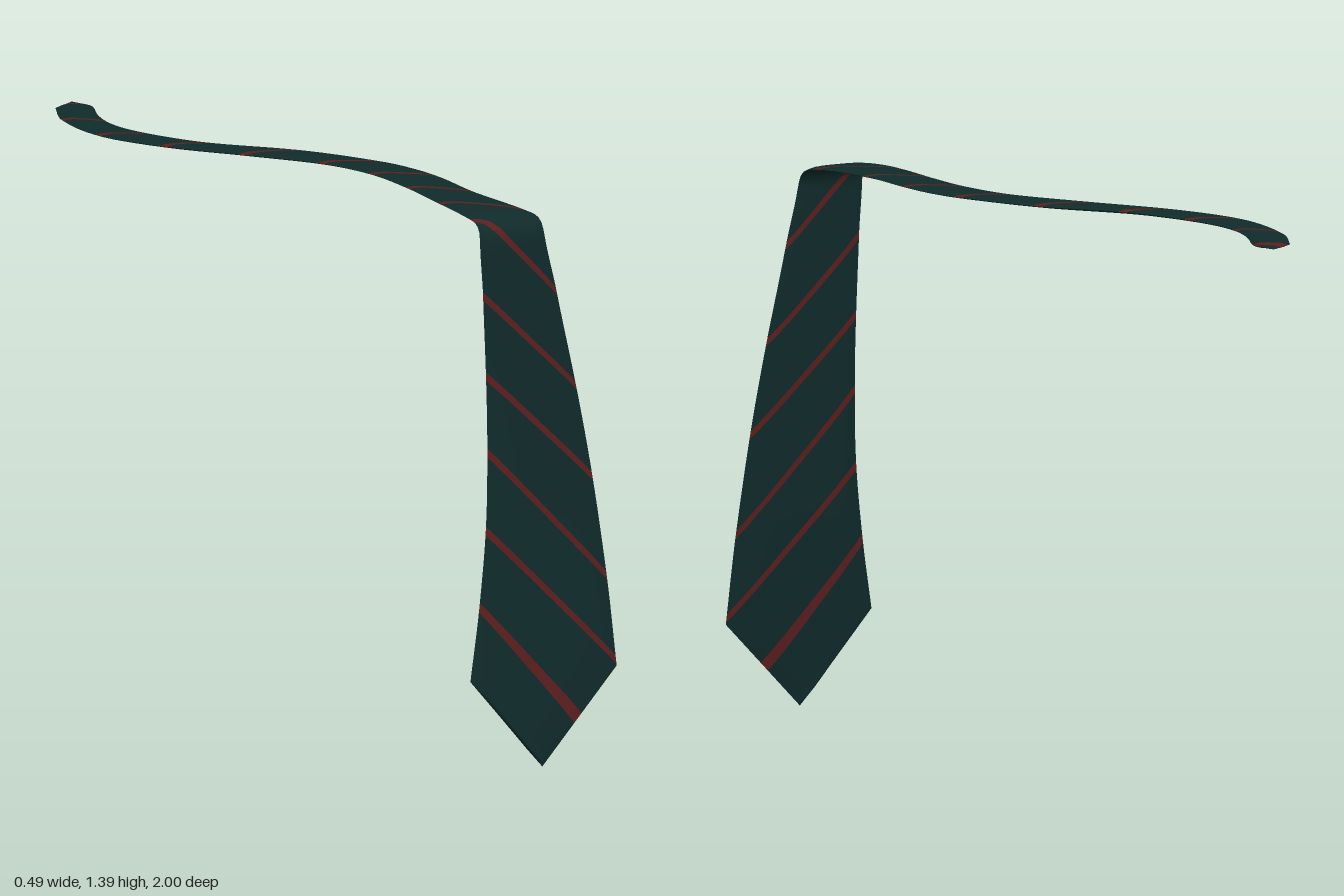
import * as THREE from 'three';

// Smooth interpolation through rows of [s, value, ...]; k picks the column
function curve(table, s, k = 1) {
  const n = table.length;
  let i = 0;
  while (i < n - 2 && s > table[i + 1][0]) i++;
  const slope = (j) => {
    const a = table[Math.max(j - 1, 0)], b = table[Math.min(j + 1, n - 1)];
    return (b[k] - a[k]) / (b[0] - a[0]);
  };
  const [p, q] = [table[i], table[i + 1]];
  const d = q[0] - p[0], t = THREE.MathUtils.clamp((s - p[0]) / d, 0, 1);
  const t2 = t * t, t3 = t2 * t;
  return (2 * t3 - 3 * t2 + 1) * p[k] + (t3 - 2 * t2 + t) * d * slope(i)
    + (3 * t2 - 2 * t3) * q[k] + (t3 - t2) * d * slope(i + 1);
}

// Centre path, by length s along the cloth: [s, y, z]
const PATH = [[0, 0, 1], [0.3, 0.3, 0.968], [0.6, 0.6, 0.939], [1, 1, 0.91], [1.28, 1.28, 0.897],
  [1.335, 1.335, 0.892], [1.355, 1.354, 0.88], [1.385, 1.364, 0.85], [1.53, 1.373, 0.7],
  [2, 1.379, 0.23], [2.6, 1.377, -0.37], [3.23, 1.372, -1]];

// Side edges between the corners: [s, x]
const EDGE_R = [[0.23, -0.2], [0.41, -0.16], [0.6, -0.128], [0.79, -0.113], [0.98, -0.108],
  [1.18, -0.11], [1.35, -0.113], [1.57, -0.075], [1.77, -0.03], [1.97, -0.002], [2.16, -0.02],
  [2.37, -0.11], [2.58, -0.2], [2.8, -0.243], [3.03, -0.19], [3.18, -0.105]];
const EDGE_L = [[0.225, 0.242], [0.45, 0.228], [0.7, 0.2], [0.93, 0.162], [1.17, 0.112],
  [1.35, 0.076], [1.62, 0.08], [1.84, 0.12], [1.96, 0.13], [2.07, 0.12], [2.31, 0.05],
  [2.51, -0.07], [2.63, -0.11], [2.8, -0.135], [2.92, -0.12], [3.03, -0.08], [3.135, -0.02]];
const END = 3.23, TIP_X = 0, END_X = -0.02;

// Edge position, with straight cuts to the points at both ends
function edgeX(table, s) {
  const first = table[0], last = table[table.length - 1];
  if (s < first[0]) return THREE.MathUtils.lerp(TIP_X, first[1], s / first[0]);
  if (s > last[0]) return THREE.MathUtils.lerp(last[1], END_X, (s - last[0]) / (END - last[0]));
  return curve(table, s);
}

// Slanted rows across the cloth: [s at -x edge, s at +x edge, is stripe]
const KEYS = [[0, 0, 0], [0.23, 0.02, 0], [0.41, 0.108, 1], [0.58, 0.225, 0], [0.597, 0.24, 1],
  [0.79, 0.45, 1], [0.98, 0.7, 1], [1.18, 0.93, 1], [1.385, 1.17, 1], [1.57, 1.4, 1],
  [1.77, 1.62, 1], [1.97, 1.84, 1], [2.16, 2.07, 1], [2.37, 2.31, 1], [2.58, 2.51, 1],
  [2.8, 2.71, 1], [3.03, 2.92, 1], [3.18, 3.11, 0], [3.2, 3.15, 1], [END, END, 0]];
const HALF_STRIPE = 0.011, HALF_THICK = 0.007, COLS = 12;

function clothRows() {
  const rows = [];   // [sR, sL, the strip leading to this row is a stripe]
  const span = (a, b, stripe) => {
    const n = Math.max(1, Math.ceil((b[0] - a[0]) / 0.012));
    for (let i = 1; i <= n; i++) {
      const t = i / n;
      rows.push([a[0] + (b[0] - a[0]) * t, a[1] + (b[1] - a[1]) * t, stripe]);
    }
  };
  let prev = KEYS[0];
  rows.push([prev[0], prev[1], 0]);
  for (const key of KEYS.slice(1)) {
    const h = key[2] ? HALF_STRIPE : 0;
    const start = [key[0] - h, key[1] - h], end = [key[0] + h, key[1] + h];
    span(prev, start, 0);
    if (h) span(start, end, 1);
    prev = end;
  }
  return rows;
}

// Thin lens-shaped cloth: two faces meeting along the edges
function clothGeometry() {
  const rows = clothRows(), positions = [], faces = [[], []];
  for (const side of [1, -1]) {
    const base = positions.length / 3;
    rows.forEach(([sR, sL, stripe], r) => {
      const xR = edgeX(EDGE_R, sR), xL = edgeX(EDGE_L, sL);
      const thick = HALF_THICK * Math.min(1, (xL - xR) / 0.06);
      for (let c = 0; c <= COLS; c++) {
        const f = c / COLS, u = 2 * f - 1;
        const s = THREE.MathUtils.lerp(sR, sL, f);
        const s0 = Math.max(s - 0.004, 0), s1 = Math.min(s + 0.004, END);
        const ty = curve(PATH, s1, 1) - curve(PATH, s0, 1);
        const tz = curve(PATH, s1, 2) - curve(PATH, s0, 2);
        const off = side * thick * (1 - u ** 4) / Math.hypot(ty, tz);
        positions.push(THREE.MathUtils.lerp(xR, xL, f),
          curve(PATH, s, 1) - tz * off, curve(PATH, s, 2) + ty * off);
        if (r === 0 || c === COLS) continue;
        const d = base + r * (COLS + 1) + c, a = d - COLS - 1;
        if (side > 0) faces[stripe].push(a, a + 1, d, a + 1, d + 1, d);
        else faces[stripe].push(a, d, a + 1, a + 1, d, d + 1);
      }
    });
  }
  const geometry = new THREE.BufferGeometry();
  geometry.setAttribute('position', new THREE.Float32BufferAttribute(positions, 3));
  geometry.setIndex([...faces[0], ...faces[1]]);
  geometry.addGroup(0, faces[0].length, 0);
  geometry.addGroup(faces[0].length, faces[1].length, 1);
  geometry.computeVertexNormals();
  return geometry;
}

export function createModel() {
  const fabric = new THREE.MeshStandardMaterial({ color: 0x102a2a });
  fabric.name = 'dark green fabric';
  const stripe = new THREE.MeshStandardMaterial({ color: 0x5c1e1e });
  stripe.name = 'dark red stripe';

  const group = new THREE.Group();
  group.name = 'necktie';
  const cloth = new THREE.Mesh(clothGeometry(), [fabric, stripe]);
  cloth.name = 'stripedCloth';
  group.add(cloth);
  return group;
}
